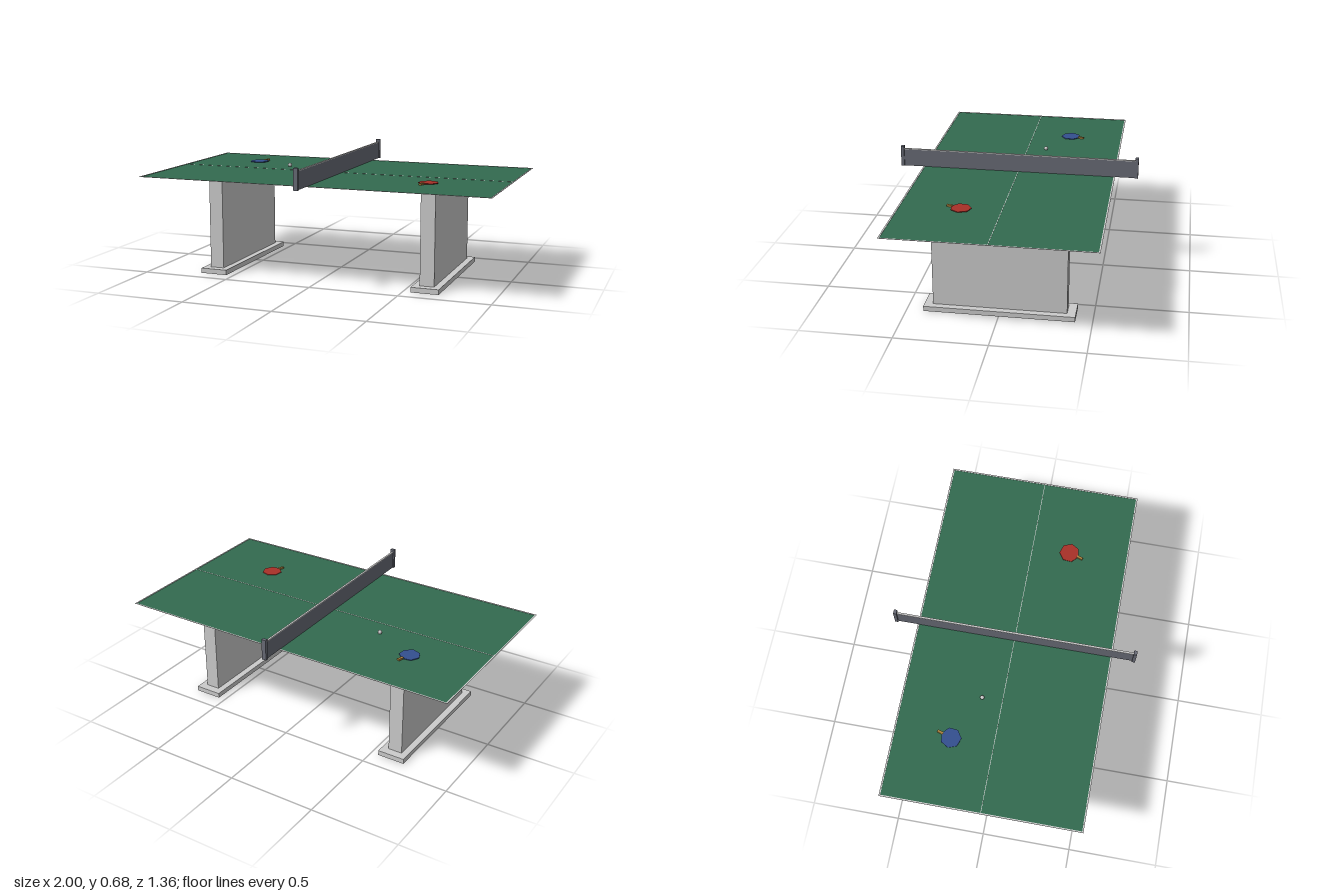
import * as THREE from 'three';

const TOP = 0.557; // playing surface height

const material = (color, side = THREE.FrontSide) =>
  new THREE.MeshStandardMaterial({ color, side });

function add(parent, name, geometry, mat, x = 0, y = 0, z = 0) {
  const mesh = new THREE.Mesh(geometry, mat);
  mesh.name = name;
  mesh.position.set(x, y, z);
  parent.add(mesh);
  return mesh;
}

const box = (w, h, d) => new THREE.BoxGeometry(w, h, d);

// Seven-sided blade lying flat, with a handle pointing along +z before turning
function createPaddle(name, color, x, z, angle) {
  const paddle = new THREE.Group();
  paddle.name = name;
  const rubber = material(color);
  rubber.flatShading = true;
  add(paddle, 'blade', new THREE.CylinderGeometry(0.057, 0.057, 0.004, 7), rubber, 0, 0.006, 0);
  add(paddle, 'handle', box(0.014, 0.01, 0.034), material(0xa8803c), 0, 0.007, 0.066);
  paddle.position.set(x, TOP, z);
  paddle.rotation.y = angle;
  return paddle;
}

export function createModel() {
  const table = new THREE.Group();
  table.name = 'tableTennisTable';

  const grey = material(0xcccccc);
  const green = material(0x336b50, THREE.DoubleSide);
  const white = material(0xe8e8e8);
  const netGrey = material(0x686b76);

  // Thin table top
  const surface = new THREE.PlaneGeometry(2, 1.1).rotateX(-Math.PI / 2);
  add(table, 'tableTop', surface, green, 0, TOP, 0);

  // Edge lines and centre line
  for (const s of [-1, 1]) {
    add(table, 'sideLine', box(2, 0.002, 0.008), white, 0, TOP + 0.001, s * 0.546);
    add(table, 'endLine', box(0.008, 0.002, 1.1), white, s * 0.996, TOP + 0.001, 0);
  }
  add(table, 'centreLine', box(2, 0.001, 0.003), white, 0, TOP + 0.0005, 0);

  // Pedestal legs with wide feet
  for (const s of [-1, 1]) {
    add(table, 'leg', box(0.08, 0.502, 0.724), grey, s * 0.62, 0.279, 0);
    add(table, 'foot', box(0.155, 0.028, 0.816), grey, s * 0.62, 0.014, 0);
  }

  // Net with top tape and end posts
  add(table, 'net', box(0.01, 0.098, 1.33), netGrey, 0, TOP + 0.049, 0);
  add(table, 'netTape', box(0.011, 0.005, 1.33), white, 0, 0.6575, 0);
  for (const s of [-1, 1]) {
    add(table, 'netPost', box(0.025, 0.118, 0.018), netGrey, 0, TOP + 0.059, s * 0.67);
  }

  // Paddles and ball
  table.add(createPaddle('redPaddle', 0xa83028, 0.58, 0.215, -0.32));
  table.add(createPaddle('bluePaddle', 0x34508f, -0.62, -0.235, Math.PI - 0.32));
  add(table, 'ball', new THREE.SphereGeometry(0.012, 10, 8), white, -0.367, TOP + 0.012, -0.112);

  return table;
}
